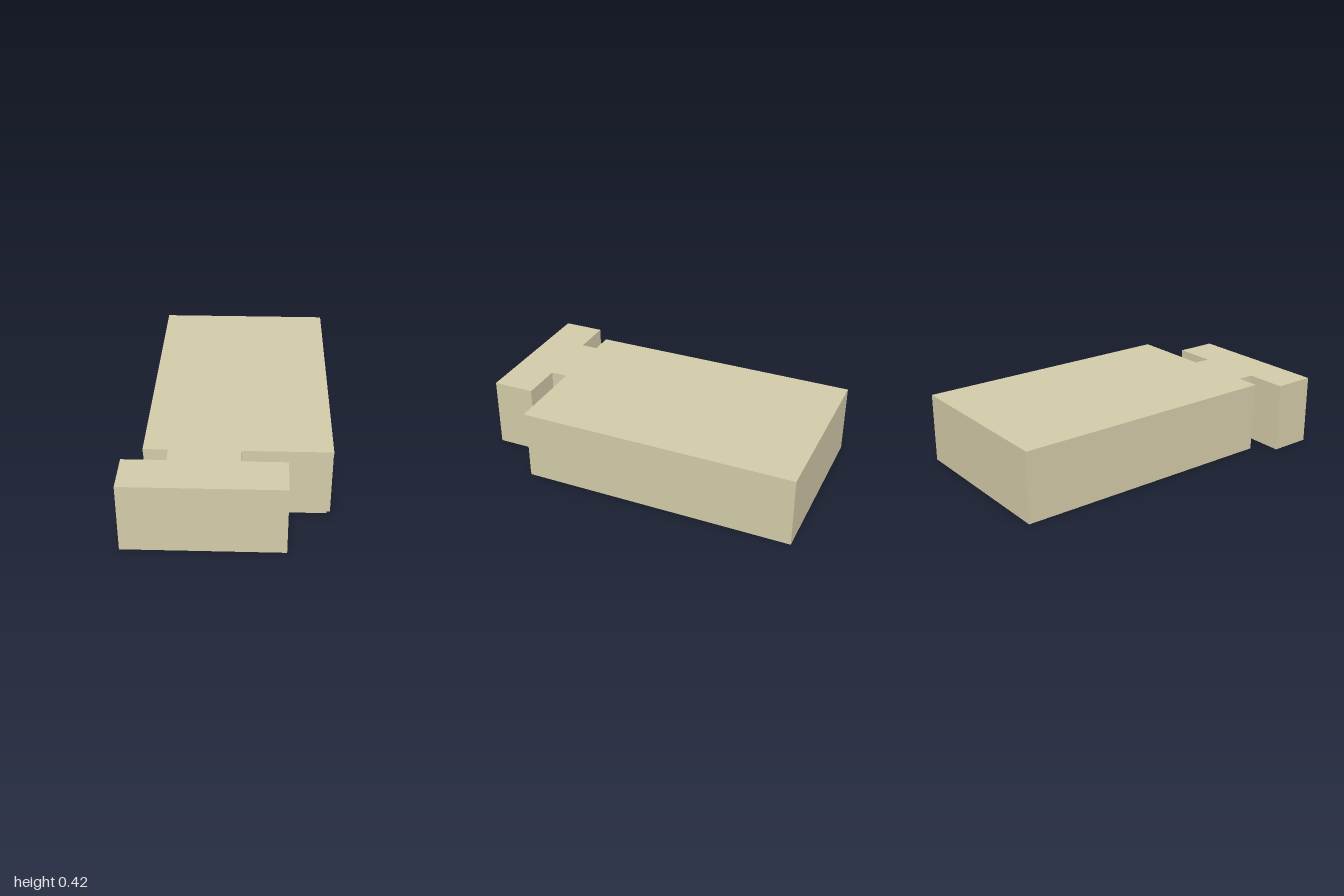
import * as THREE from 'three';

const HEIGHT = 0.42, LID = 0.02, WALL_TOP = HEIGHT - LID;

// Plan outline of [x, z] points; shape y is -z so it lies flat after rotation.
const plan = (pts) => pts.map(([x, z]) => new THREE.Vector2(x, -z));

// Slab at the back, narrow neck, and an offset head block at the front.
// cutX / cutZ notch the two front corners of the slab.
function outline(cutX, cutZ) {
  const notch = cutX > 0;
  const right = notch
    ? [[0.58, 0.65 - cutZ], [0.58 - cutX, 0.65 - cutZ], [0.58 - cutX, 0.65]]
    : [[0.58, 0.65]];
  const left = notch
    ? [[-0.47 + cutX, 0.65], [-0.47 + cutX, 0.65 - cutZ], [-0.47, 0.65 - cutZ]]
    : [[-0.47, 0.65]];
  return plan([
    [-0.47, -1], [0.58, -1], ...right,
    [0.075, 0.65], [0.075, 0.75], [0.33, 0.75], [0.33, 1],
    [-0.58, 1], [-0.58, 0.75], [-0.33, 0.75], [-0.33, 0.65], ...left,
  ]);
}

// Inner line of the walls: thin around the slab, thicker at neck and head.
const innerLine = plan([
  [-0.45, -0.98], [0.56, -0.98], [0.56, 0.63],
  [0.035, 0.63], [0.035, 0.79], [0.29, 0.79], [0.29, 0.96],
  [-0.54, 0.96], [-0.54, 0.79], [-0.29, 0.79], [-0.29, 0.63], [-0.45, 0.63],
]);

function extrudeUp(shape, depth, y) {
  const geo = new THREE.ExtrudeGeometry(shape, { depth, bevelEnabled: false });
  return geo.rotateX(-Math.PI / 2).translate(0, y, 0);
}

export function createModel() {
  const group = new THREE.Group();
  const shell = new THREE.MeshStandardMaterial({ color: 0xd2caa8 });
  const dark = new THREE.MeshStandardMaterial({ color: 0x2a2a2a, side: THREE.DoubleSide });

  const add = (name, geo, mat) => {
    const mesh = new THREE.Mesh(geo, mat);
    mesh.name = name;
    group.add(mesh);
  };

  // Walls, with small recesses at the slab's front corners
  const wallShape = new THREE.Shape(outline(0.02, 0.015));
  wallShape.holes.push(new THREE.Path(innerLine));
  add('walls', extrudeUp(wallShape, WALL_TOP, 0), shell);

  // Top plate covering the full outline
  add('topPlate', extrudeUp(new THREE.Shape(outline(0, 0)), LID, WALL_TOP), shell);

  // Dark panel closing the underside within the rim
  add('basePanel', new THREE.ShapeGeometry(new THREE.Shape(innerLine)).rotateX(-Math.PI / 2), dark);

  return group;
}
